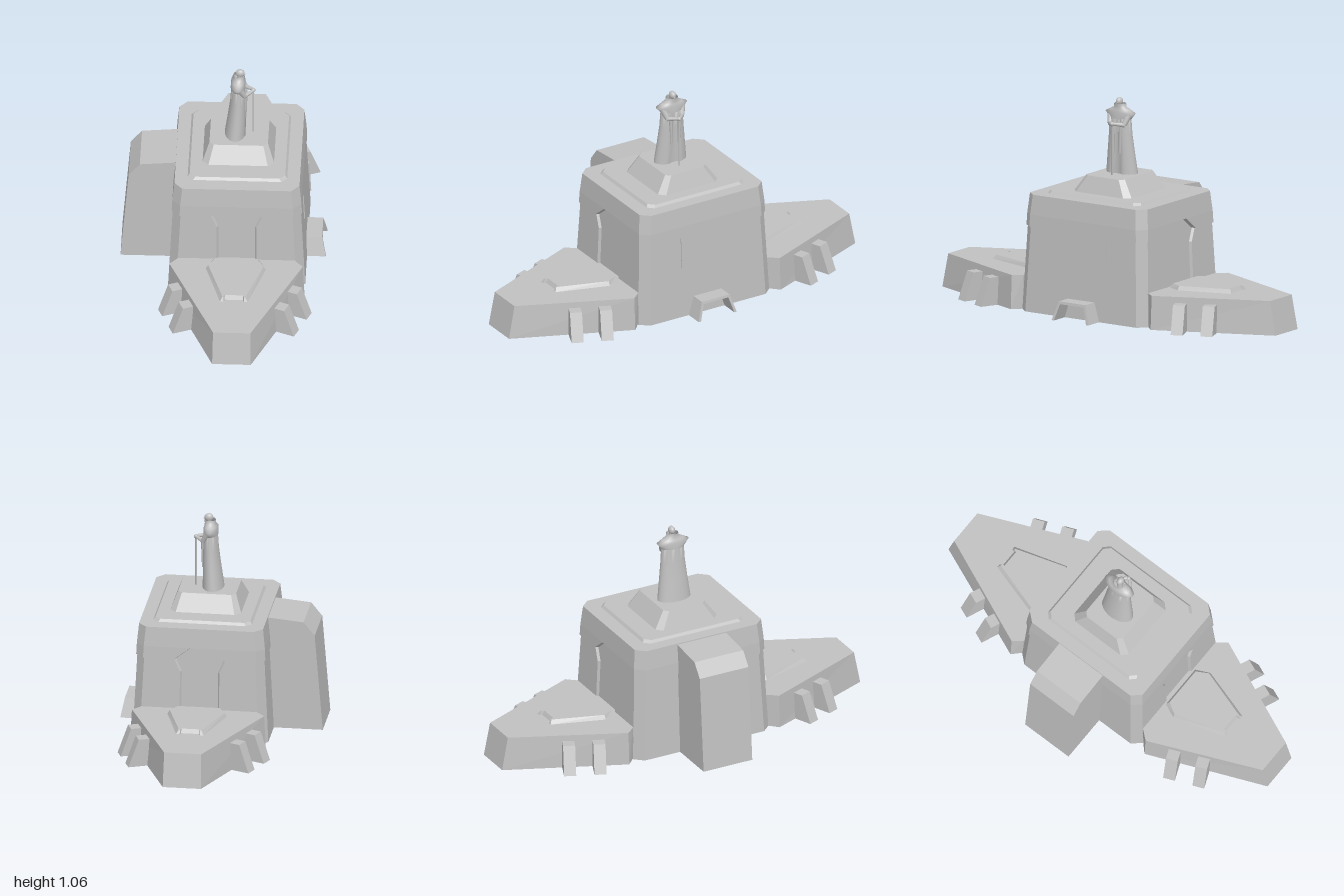
import * as THREE from 'three';

const stone = new THREE.MeshStandardMaterial({ color: 0xc0c0c0, side: THREE.DoubleSide });
stone.name = 'grey stone';

// Skin rings of [x, z] points stacked at heights; open below, optionally capped.
function loft(name, levels, { smooth = false, top = true, bottom = false } = {}) {
  const rings = levels.map(([y, pts]) => {
    const p = pts.map(([x, z]) => new THREE.Vector2(x, z));
    if (THREE.ShapeUtils.area(p) < 0) p.reverse();
    return { y, p };
  });
  const n = rings[0].p.length, pos = [], idx = [];
  for (const r of rings) for (const v of r.p) pos.push(v.x, r.y, v.y);
  for (let k = 0; k < rings.length - 1; k++) {
    for (let i = 0; i < n; i++) {
      const a = k * n + i, b = k * n + (i + 1) % n;
      idx.push(a, a + n, b, b, a + n, b + n);
    }
  }
  const cap = (k, up) => {
    const p = rings[k].p;
    for (const [a, b, c] of THREE.ShapeUtils.triangulateShape(p, [])) {
      const positive = THREE.ShapeUtils.area([p[a], p[b], p[c]]) > 0;
      const o = k * n;
      if (positive === up) idx.push(o + a, o + c, o + b);
      else idx.push(o + a, o + b, o + c);
    }
  };
  if (top) cap(rings.length - 1, true);
  if (bottom) cap(0, false);
  let g = new THREE.BufferGeometry();
  g.setAttribute('position', new THREE.Float32BufferAttribute(pos, 3));
  g.setIndex(idx);
  if (!smooth) g = g.toNonIndexed();
  g.computeVertexNormals();
  return named(name, g);
}

function named(name, geometry) {
  const m = new THREE.Mesh(geometry, stone);
  m.name = name;
  return m;
}

// Mirror a half outline in x into a full ring
const mirrorX = half => [...half, ...half.slice().reverse().map(([x, z]) => [-x, z])];

// Rectangle with cut corners
function cutRect(hx, hz, cx, cz = cx) {
  return mirrorX([[hx - cx, -hz], [hx, -hz + cz], [hx, hz - cz], [hx - cx, hz]]);
}

// Horizontal section of the tapering block; arch is the half width of the doorway recess
const halfX = y => 0.337 - 0.05 * y;
const halfZ = y => 0.378 - 0.043 * y;
function blockRing(y, arch, out = 0) {
  const hx = halfX(y) + out, hz = halfZ(y) + out, inner = halfZ(y) - 0.012;
  return [y, mirrorX([
    [arch - 0.008, -inner], [arch, -hz], [hx - 0.04, -hz], [hx, -hz + 0.045],
    [hx, hz - 0.045], [hx - 0.04, hz], [arch, hz], [arch - 0.008, inner],
  ])];
}

function makeBlock() {
  const g = new THREE.Group();
  g.name = 'mainBlock';
  const lip = 0.005;
  g.add(loft('lowerWalls', [
    blockRing(0, 0.098), blockRing(0.36, 0.098), blockRing(0.425, 0.126),
    blockRing(0.425, 0.126, lip), blockRing(0.485, 0.05, lip),
  ], { top: false }));
  const upper = y => [y, cutRect(halfX(y) + lip * (0.585 - y) / 0.1,
    halfZ(y) + lip * (0.585 - y) / 0.1, 0.04, 0.045)];
  g.add(loft('upperWalls', [upper(0.485), upper(0.585)], { bottom: true }));

  // Tab hanging from the band on the left wall
  const tab = new THREE.BoxGeometry(0.01, 0.165, 0.29).translate(0, 0.3425, 0);
  const p = tab.attributes.position;
  for (let i = 0; i < p.count; i++) p.setX(i, p.getX(i) + halfX(p.getY(i)));
  tab.computeVertexNormals();
  g.add(named('wallTab', tab));

  // Stepped roof and statue pedestal
  g.add(loft('roofStep', [[0.585, cutRect(0.245, 0.28, 0.028)], [0.598, cutRect(0.235, 0.27, 0.028)]]));
  g.add(loft('pedestal', [[0.597, cutRect(0.176, 0.172, 0.03)], [0.68, cutRect(0.144, 0.115, 0.022)]]));
  return g;
}

// Pointed bastion with hatch and sloping buttresses
function makeBastion() {
  const g = new THREE.Group();
  g.name = 'bastion';
  const outline = (wide, tip, z) => mirrorX([[0.29, 0.355], [0.29, 0.375], [wide, 0.42], [tip, z]]);
  g.add(loft('bastionWalls', [[0, outline(0.337, 0.095, 1)], [0.17, outline(0.328, 0.092, 0.967)]]));

  const hatch = s => mirrorX([
    [0.115 - s, 0.38 + s], [0.148 - s, 0.45], [0.068 - s, 0.715 - s],
    [0.05, 0.715 - s], [0.045, 0.7 - s],
  ]);
  g.add(loft('hatch', [[0.17, hatch(0)], [0.19, hatch(0.012)]]));

  const d = new THREE.Vector2(0.24, -0.58).normalize();
  for (const side of [-1, 1]) {
    for (const t of [0.152, 0.302]) {
      // u runs along the wall, v points away from it
      const at = (u, v) => [
        side * (0.337 - d.x * (t + u) - d.y * v),
        0.42 - d.y * (t + u) + d.x * v,
      ];
      const ring = v => [at(-0.03, -0.02), at(0.03, -0.02), at(0.03, v), at(-0.03, v)];
      g.add(loft('buttress', [[0, ring(0.095)], [0.14, ring(0.042)]]));
    }
  }
  return g;
}

// Tower slab against the right wall
function makeSlab() {
  const s = new THREE.Shape([
    [-0.58, 0], [-0.54, 0.495], [-0.485, 0.563], [-0.3, 0.58], [-0.3, 0],
  ].map(p => new THREE.Vector2(...p)));
  const g = new THREE.ExtrudeGeometry(s, { depth: 0.272, bevelEnabled: false });
  return named('sideTower', g.translate(0, 0, -0.136));
}

// Small framed tunnel on the left wall
function makeGate() {
  const s = new THREE.Shape([
    [-0.11, 0], [-0.08, 0.095], [0.08, 0.095], [0.11, 0],
    [0.096, 0], [0.071, 0.082], [-0.071, 0.082], [-0.096, 0],
  ].map(p => new THREE.Vector2(...p)));
  const g = new THREE.ExtrudeGeometry(s, { depth: 0.12, bevelEnabled: false });
  g.rotateY(Math.PI / 2).translate(0.309, 0, 0);
  const p = g.attributes.position;
  for (let i = 0; i < p.count; i++) p.setX(i, p.getX(i) - p.getY(i) * 0.2);
  g.computeVertexNormals();
  return named('gateFrame', g);
}

function rod(name, from, to, r0, r1) {
  const a = new THREE.Vector3(...from), b = new THREE.Vector3(...to);
  const m = named(name, new THREE.CylinderGeometry(r1, r0, a.distanceTo(b), 10));
  m.position.copy(a).add(b).multiplyScalar(0.5);
  m.quaternion.setFromUnitVectors(new THREE.Vector3(0, 1, 0), b.sub(a).normalize());
  return m;
}

// Robed figure leaning on a staff, facing the left wall
function makeStatue() {
  const g = new THREE.Group();
  g.name = 'statue';
  const oval = ([y, cx, rx, rz], groove) => [y, Array.from({ length: 32 }, (_, i) => {
    const a = i / 16 * Math.PI, c = Math.cos(a);
    return [cx + rx * c * (c > 0.96 ? groove : 1), rz * Math.sin(a)];
  })];
  g.add(loft('robe', [
    [0.68, -0.019, 0.053, 0.088], [0.78, -0.012, 0.046, 0.076],
    [0.88, -0.006, 0.039, 0.065], [0.97, -0.004, 0.035, 0.06],
  ].map(r => oval(r, 0.75)), { smooth: true }));
  g.add(loft('cape', [
    [0.955, -0.006, 0.037, 0.062], [0.985, -0.006, 0.036, 0.087], [1.0, -0.005, 0.031, 0.058],
    [1.012, -0.003, 0.027, 0.034], [1.03, -0.002, 0.028, 0.03],
  ].map(r => oval(r, 1)), { smooth: true, top: false }));

  const head = named('head', new THREE.SphereGeometry(0.022, 20, 14));
  head.scale.set(1, 0.95, 0.75);
  head.position.set(0.004, 1.04, 0);
  g.add(head, rod('neck', [0, 0.98, 0], [0.003, 1.035, 0], 0.016, 0.012));
  g.add(rod('nose', [0.02, 1.036, 0], [0.03, 1.033, 0], 0.005, 0.002));

  for (const s of [-1, 1]) {
    g.add(rod('upperArm', [0, 0.98, s * 0.055], [0.026, 0.93, s * 0.042], 0.018, 0.013));
    g.add(rod('forearm', [0.024, 0.928, s * 0.042], [0.068, 0.937, s * 0.006], 0.012, 0.007));
    g.add(rod('hangingSleeve', [0.03, 0.785, s * 0.02], [0.03, 0.925, s * 0.026], 0.006, 0.01));
  }
  const hands = named('hands', new THREE.SphereGeometry(0.011, 12, 8));
  hands.position.set(0.068, 0.936, 0);
  g.add(hands, rod('staff', [0.068, 0.68, 0], [0.068, 0.936, 0], 0.004, 0.004));
  return g;
}

export function createModel() {
  const model = new THREE.Group();
  model.name = 'monument';
  const body = new THREE.Group();
  body.name = 'fortress';
  body.position.x = 0.075;
  const front = makeBastion(), back = makeBastion();
  front.name = 'frontBastion';
  back.name = 'backBastion';
  back.rotation.y = Math.PI;
  body.add(makeBlock(), front, back, makeSlab(), makeGate(), makeStatue());
  model.add(body);
  return model;
}
